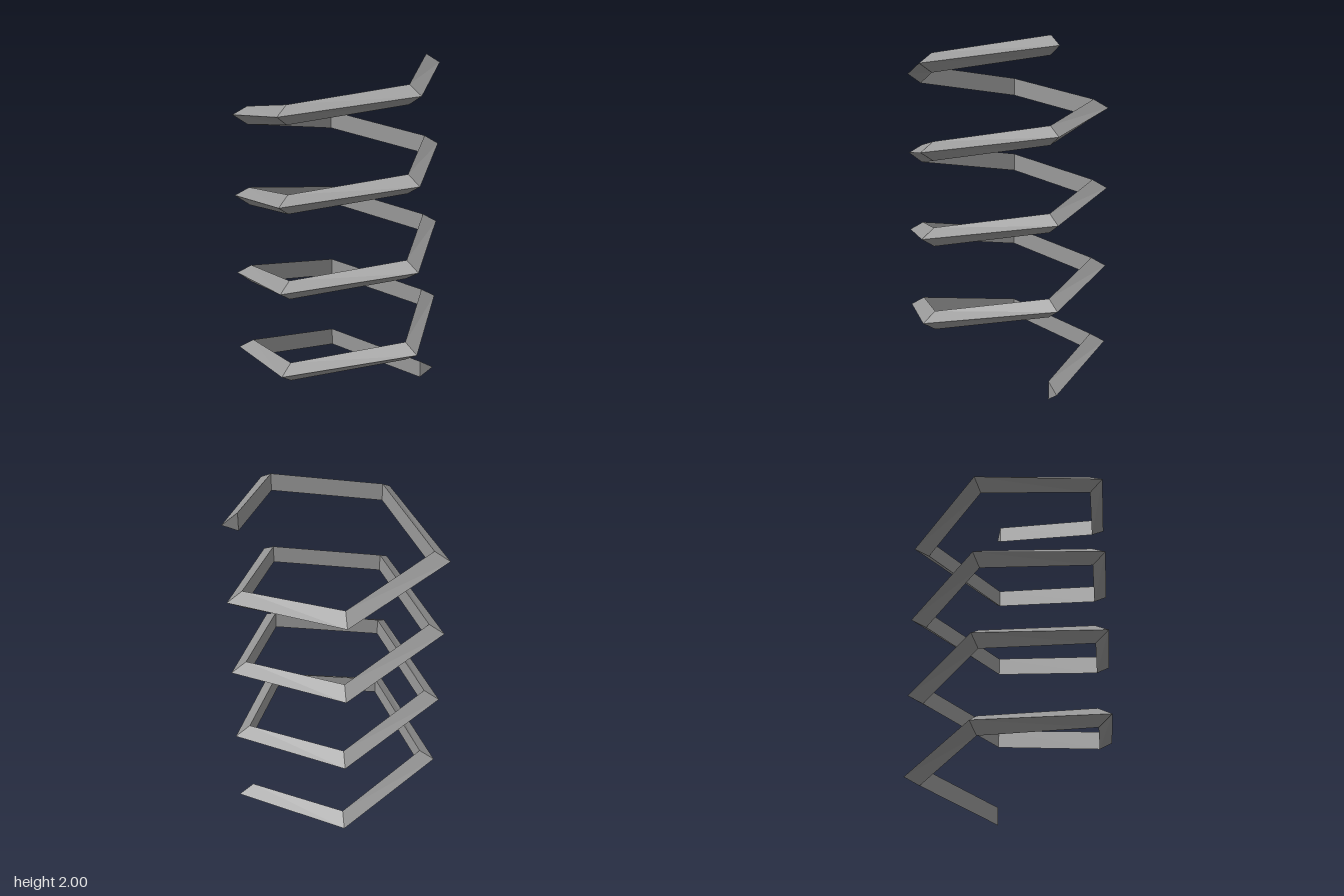
import * as THREE from 'three';

const SIDES = 5, TURNS = 4;
const OUTER = 0.63, INNER = 0.54;   // corner radii of the pentagon
const THICK = 0.105;                // height of the vertical inner face
const RISE = (2 - THICK) / (SIDES * TURNS);
const OFFSET_X = -0.06;             // centres the pentagon's bounds

// Triangular section at corner i: inner bottom, outer tip, inner top
function section(i) {
  const a = (i / SIDES) * Math.PI * 2, y = i * RISE;
  const at = (r, h) => [OFFSET_X + r * Math.cos(a), y + h, -r * Math.sin(a)];
  return [at(INNER, 0), at(OUTER, THICK / 2), at(INNER, THICK)];
}

export function createModel() {
  const group = new THREE.Group();
  group.name = 'pentagonalSpring';
  const grey = new THREE.MeshStandardMaterial({ color: 0x999999 });
  grey.name = 'grey';

  const positions = [];
  const tri = (...corners) => corners.forEach((c) => positions.push(...c));
  const last = SIDES * TURNS;

  // Straight bars between neighbouring corners
  for (let i = 0; i < last; i++) {
    const s = section(i), e = section(i + 1);
    for (let k = 0; k < 3; k++) {
      const n = (k + 1) % 3;
      tri(s[k], e[k], s[n]);
      tri(s[n], e[k], e[n]);
    }
  }

  // End caps
  const [a, b, c] = section(0);
  tri(a, b, c);
  const [p, q, r] = section(last);
  tri(p, r, q);

  // Unshared corners give flat facets
  const geometry = new THREE.BufferGeometry();
  geometry.setAttribute('position', new THREE.Float32BufferAttribute(positions, 3));
  geometry.computeVertexNormals();
  const coil = new THREE.Mesh(geometry, grey);
  coil.name = 'coil';
  group.add(coil);
  return group;
}
